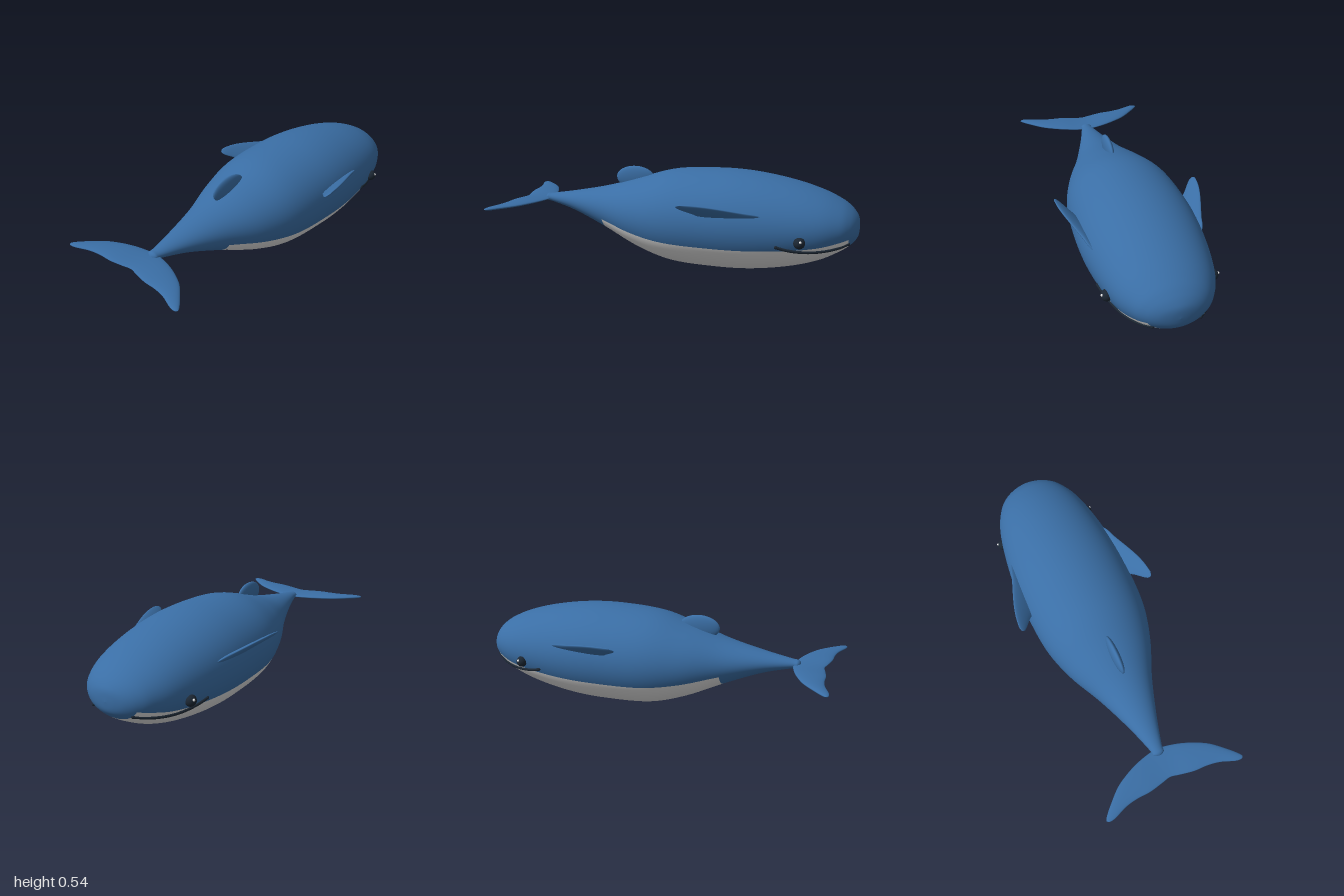
import * as THREE from 'three';

const paint = (name, color) => {
  const m = new THREE.MeshStandardMaterial({ color });
  m.name = name;
  return m;
};

// Smooth spline through rows of numbers, with `steps` rows per span
function smoothRows(rows, steps) {
  const out = [];
  const at = (i) => rows[Math.min(Math.max(i, 0), rows.length - 1)];
  for (let i = 0; i < rows.length - 1; i++) {
    for (let k = 0; k < steps; k++) {
      const t = k / steps;
      out.push(rows[i].map((b, c) => {
        const a = at(i - 1)[c], d = at(i + 1)[c], e = at(i + 2)[c];
        const m0 = (d - a) / 2, m1 = (e - b) / 2;
        return (2 * b - 2 * d + m0 + m1) * t ** 3 + (3 * d - 3 * b - 2 * m0 - m1) * t * t + m0 * t + b;
      }));
    }
  }
  out.push(rows[rows.length - 1]);
  return out;
}

// Skin closed rings of points; faces chosen by isSecond go to a second material group
function loft(rings, isSecond = () => false) {
  const n = rings[0].length;
  const first = [], second = [];
  for (let i = 0; i < rings.length - 1; i++) {
    for (let j = 0; j < n; j++) {
      const a = i * n + j, b = i * n + (j + 1) % n;
      (isSecond(i, j) ? second : first).push(a, b, a + n, b, b + n, a + n);
    }
  }
  const geo = new THREE.BufferGeometry();
  geo.setAttribute('position', new THREE.Float32BufferAttribute(rings.flat(2), 3));
  geo.setIndex([...first, ...second]);
  geo.addGroup(0, first.length, 0);
  if (second.length) geo.addGroup(first.length, second.length, 1);
  geo.computeVertexNormals();
  return geo;
}

// Fin running along x: rows of [x, z front, z back, y, half thickness]
function finGeometry(rows, pitch = 0) {
  return loft(smoothRows(rows, 6).map(([x, zf, zb, y, h]) => {
    const ring = [];
    for (let j = 0; j < 28; j++) {
      const a = (j / 28) * Math.PI * 2;
      const dz = -Math.cos(a) * (zb - zf) / 2;
      ring.push([x, y + h * Math.sin(a) + pitch * dz, (zf + zb) / 2 + dz]);
    }
    return ring;
  }));
}

const mirrorRows = (rows) => rows.map(([x, ...rest]) => [-x, ...rest]).reverse();

export function createModel() {
  const model = new THREE.Group();
  model.name = 'whale';
  const blue = paint('ocean blue', 0x3a6ea5);
  const pale = paint('belly pale grey', 0xe0e0e0);
  const dark = paint('dark navy', 0x1c2733);
  const white = paint('eye glint white', 0xffffff);
  const add = (name, geo, mat, parent = model) => {
    const mesh = new THREE.Mesh(geo, mat);
    mesh.name = name;
    parent.add(mesh);
    return mesh;
  };

  // Body stations from nose to tail: z, half width, top, bottom
  const stations = [
    [-1, 0, 0.27, 0.27], [-0.995, 0.05, 0.315, 0.228], [-0.98, 0.105, 0.345, 0.2],
    [-0.95, 0.155, 0.377, 0.17], [-0.9, 0.2, 0.411, 0.136], [-0.8, 0.25, 0.455, 0.085],
    [-0.65, 0.287, 0.498, 0.04], [-0.45, 0.314, 0.532, 0.008], [-0.25, 0.32, 0.542, 0.001],
    [0, 0.303, 0.527, 0.015], [0.2, 0.247, 0.473, 0.075], [0.4, 0.157, 0.412, 0.167],
    [0.6, 0.083, 0.37, 0.25], [0.75, 0.037, 0.345, 0.292], [0.79, 0.03, 0.34, 0.3],
    [0.805, 0, 0.32, 0.32],
  ];
  const STEPS = 6, BACK = 44, BELLY = 28, EDGE = 0.368;
  const angles = [];
  for (let j = 0; j < BACK; j++) angles.push(-EDGE + (j / BACK) * (Math.PI + 2 * EDGE));
  for (let j = 0; j < BELLY; j++) angles.push(Math.PI + EDGE + (j / BELLY) * (Math.PI - 2 * EDGE));
  const slices = smoothRows(stations, STEPS);
  const rings = slices.map(([z, w, top, bottom]) => angles.map((a) =>
    [w * Math.cos(a), (top + bottom) / 2 + (top - bottom) / 2 * Math.sin(a), z]));
  // Belly patch spans from the station at z = -0.95 to the one at z = 0.4
  const isBelly = (i, j) => i >= 3 * STEPS && i < 11 * STEPS && j >= BACK;
  add('body', loft(rings, isBelly), [blue, pale]);

  // Half width of the body at a given height and depth
  const bodyX = (y, z) => {
    const i = Math.max(1, slices.findIndex((s) => s[0] >= z));
    const p = slices[i - 1], q = slices[i], t = (z - p[0]) / (q[0] - p[0]);
    const [, w, top, bottom] = p.map((v, c) => v + (q[c] - v) * t);
    const s = (y - (top + bottom) / 2) / ((top - bottom) / 2);
    return w * Math.sqrt(Math.max(0, 1 - s * s));
  };

  // Dorsal fin
  const dorsal = add('dorsalFin', new THREE.SphereGeometry(1, 32, 24), blue);
  dorsal.scale.set(0.023, 0.066, 0.113);
  dorsal.position.set(0, 0.465, 0.245);

  // Tail flukes, one piece from tip to tip
  const fluke = [
    [0, 0.765, 0.925, 0.316, 0.009], [0.05, 0.77, 0.935, 0.316, 0.01], [0.127, 0.79, 0.95, 0.318, 0.012],
    [0.2, 0.82, 0.953, 0.319, 0.012], [0.27, 0.86, 0.965, 0.319, 0.011], [0.345, 0.928, 0.993, 0.318, 0.009],
    [0.38, 0.965, 0.997, 0.317, 0.006], [0.393, 0.984, 0.987, 0.317, 0.001],
  ];
  add('tailFlukes', finGeometry([...mirrorRows(fluke.slice(1)), ...fluke]), blue);

  // Side flippers, swept back and tilted up
  const flipper = [
    [0.25, -0.56, -0.24, 0.325, 0.02], [0.295, -0.5, -0.19, 0.355, 0.018], [0.32, -0.42, -0.165, 0.371, 0.016],
    [0.365, -0.285, -0.108, 0.399, 0.012], [0.387, -0.2, -0.1, 0.412, 0.008], [0.396, -0.13, -0.12, 0.418, 0.001],
  ];
  for (const [side, s] of [['left', 1], ['right', -1]]) {
    add(side + 'Flipper', finGeometry(s > 0 ? flipper : mirrorRows(flipper), -0.06), blue);

    // Eye with a small glint
    add(side + 'Eye', new THREE.SphereGeometry(0.03, 24, 16), dark).position.set(s * 0.272, 0.235, -0.715);
    add(side + 'EyeGlint', new THREE.SphereGeometry(0.007, 12, 8), white).position.set(s * 0.297, 0.246, -0.723);

    // Mouth line following the cheek
    const lip = [[0.207, -0.6], [0.19, -0.66], [0.179, -0.75], [0.182, -0.83], [0.192, -0.9], [0.206, -0.95]]
      .map(([y, z]) => new THREE.Vector3(s * (bodyX(y, z) + 0.002), y, z));
    const mouth = new THREE.Group();
    mouth.name = side + 'Mouth';
    model.add(mouth);
    add('mouthLine', new THREE.TubeGeometry(new THREE.CatmullRomCurve3(lip), 40, 0.008, 10), dark, mouth);
    for (const end of [lip[0], lip[lip.length - 1]]) {
      add('mouthCorner', new THREE.SphereGeometry(0.009, 12, 8), dark, mouth).position.copy(end);
    }
  }
  return model;
}
